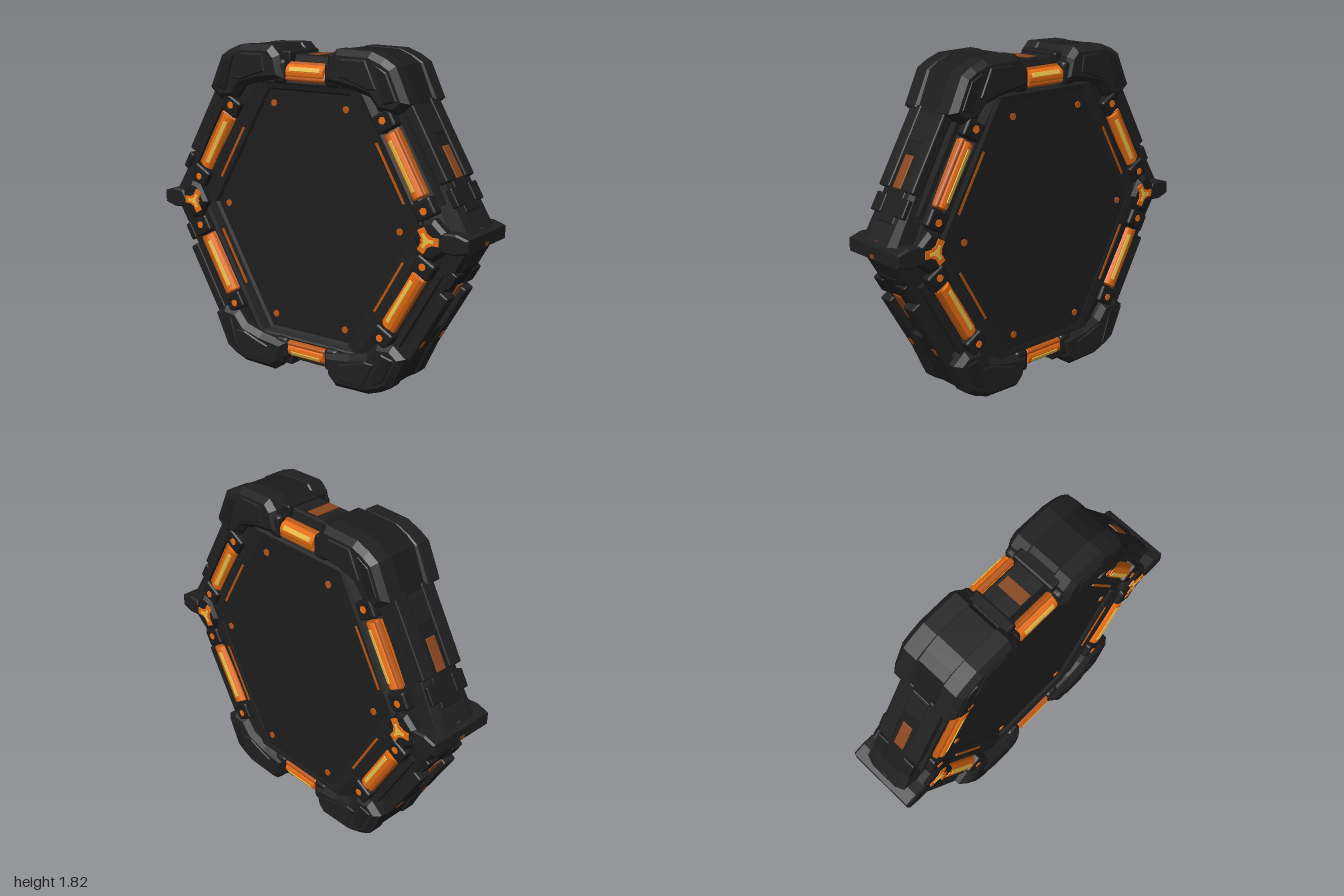
import * as THREE from 'three';
import { RoundedBoxGeometry } from 'three/addons/geometries/RoundedBoxGeometry.js';

const mat = (name, color) => {
  const m = new THREE.MeshStandardMaterial({ color, flatShading: true });
  m.name = name;
  return m;
};
const M = {
  frame: mat('charcoal', 0x1f1f1f),
  armor: mat('dark armor', 0x1b1b1b),
  panel: mat('panel grey', 0x1d1d1d),
  orange: mat('glow orange', 0xe66c12),
  deep: mat('deep orange', 0xb65412),
  yellow: mat('glow yellow', 0xf0c44c),
  brown: mat('dim amber', 0x88461e),
};
const SLANT = Math.sqrt(3) / 2;

function add(parent, name, geometry, material, x = 0, y = 0, z = 0) {
  const mesh = new THREE.Mesh(geometry, material);
  mesh.name = name;
  mesh.position.set(x, y, z);
  parent.add(mesh);
  return mesh;
}
const box = (w, h, d) => new THREE.BoxGeometry(w, h, d);
const soft = (w, h, d, r) => new RoundedBoxGeometry(w, h, d, 2, r);
const dot = (r) => new THREE.CylinderGeometry(r, r, 0.008, 8).rotateX(Math.PI / 2);

// Six corners of a hexagon with separate side and top distances
function hexCorners(side, top) {
  const x = (side - top / 2) / SLANT, r = side / SLANT;
  return [[r, 0], [x, top], [-x, top], [-r, 0], [-x, -top], [x, -top]];
}

// Bevelled slab between two depths, optionally mirrored
function slab(points, z0, z1, bevel = 0.012, sx = 1, sy = 1) {
  const shape = new THREE.Shape(points.map(([x, y]) => new THREE.Vector2(x * sx, y * sy)));
  return new THREE.ExtrudeGeometry(shape, {
    depth: z1 - z0 - 2 * bevel, bevelEnabled: bevel > 0, bevelSize: bevel,
    bevelThickness: bevel, bevelOffset: -bevel, bevelSegments: 1,
  }).translate(0, 0, z0 + bevel);
}

// Hexagonal ring lofted from a cross-section of
// [side distance, top distance, front depth, back depth, drop along the flat sides]
function ringGeometry() {
  const section = [[0.555, 0.665, 0.115, 0.178, 0], [0.57, 0.68, 0.138, 0.187, 0],
    [0.625, 0.705, 0.146, 0.19, 0], [0.645, 0.715, 0.152, 0.18, 0], [0.69, 0.73, 0.155, 0.175, 0.02],
    [0.77, 0.81, 0.14, 0.16, 0.05], [0.85, 0.855, 0.13, 0.148, 0.05], [0.865, 0.862, 0.08, 0.09, 0]];
  const front = section.map(([s, t, z, , l]) => [s, t, z, z - l]);
  const back = section.map(([s, t, , z, l]) => [s, t, -z, l - z]).reverse();
  const rows = [...front, ...back].map(([s, t, zSide, zFlat]) =>
    hexCorners(s, t).map(([x, y]) => [x, y, y === 0 ? zSide : zFlat]));
  const pos = [];
  for (let i = 0; i < rows.length - 1; i++) {
    for (let k = 0; k < 6; k++) {
      const n = (k + 1) % 6;
      const a = rows[i][k], b = rows[i + 1][k], c = rows[i + 1][n], d = rows[i][n];
      pos.push(...a, ...b, ...c, ...a, ...c, ...d);
    }
  }
  const g = new THREE.BufferGeometry();
  g.setAttribute('position', new THREE.Float32BufferAttribute(pos, 3));
  g.computeVertexNormals();
  return g;
}

// Local frame of one hexagon side: x along it, y outward
function sideGroup(parent, name, degrees) {
  const g = new THREE.Group();
  g.name = name;
  g.rotation.z = THREE.MathUtils.degToRad(degrees - 90);
  parent.add(g);
  return g;
}

// Glowing tube on a darker base, with a bright core strip
function lightBar(parent, length, y, z, tilt) {
  const g = new THREE.Group();
  g.name = 'lightBar';
  g.position.set(0, y, z);
  g.rotation.x = tilt;
  parent.add(g);
  add(g, 'lightBase', soft(length + 0.02, 0.106, 0.035, 0.012), M.deep, 0, 0, 0.006);
  add(g, 'lightTube', new THREE.CylinderGeometry(0.044, 0.044, length, 16).rotateZ(Math.PI / 2), M.orange);
  add(g, 'lightCore', soft(length * 0.82, 0.025, 0.008, 0.003), M.yellow, 0, 0, 0.042);
}

// Everything that sits on one face of the frame; lift raises the trim
function buildFace(name, panelZ, stripZ, lift) {
  const face = new THREE.Group();
  face.name = name;
  for (const a of [30, 150, 210, 330]) {
    const s = sideGroup(face, 'slantedSide', a);
    lightBar(s, 0.345, 0.712, 0.14 + lift, 0.25);
    add(s, 'innerStrip', box(0.34, 0.013, 0.008), M.deep, 0, 0.6, stripZ);
    add(s, 'outerRail', box(0.52, 0.03, 0.04), M.frame, 0, 0.8, 0.13 + lift);
    for (const t of [-1, 1]) {
      add(s, 'lightBracket', soft(0.1, 0.12, 0.07, 0.015), M.armor, t * 0.24, 0.715, 0.15 + lift);
      add(s, 'statusDot', dot(0.02), M.orange, t * 0.247, 0.713, 0.185 + lift);
    }
  }
  for (const a of [90, 270]) {
    const s = sideGroup(face, 'flatSide', a);
    lightBar(s, 0.24, 0.772, 0.13 + lift, -0.45);
    for (const t of [-1, 1]) {
      add(s, 'lightSocket', soft(0.09, 0.13, 0.12, 0.025), M.armor, t * 0.17, 0.775, 0.115 + lift);
    }
  }
  // Dots near the panel corners
  for (const [x, y] of [[0.235, 0.597], [0.57, 0], [0.235, -0.597]]) {
    for (const sx of [-1, 1]) add(face, 'panelDot', dot(0.019), M.deep, x * sx, y, panelZ + 0.003);
  }
  // Three-armed lights on the side corners
  for (const sx of [-1, 1]) {
    const star = new THREE.Group();
    star.name = 'cornerStar';
    star.position.set(0.77 * sx, 0, 0.196 + lift);
    star.rotation.z = sx > 0 ? 0 : Math.PI;
    face.add(star);
    add(star, 'starHub', dot(0.036), M.orange, 0, 0, 0.001);
    add(star, 'starCenter', dot(0.018), M.yellow, 0, 0, 0.006);
    for (const a of [0, 1, 2]) {
      const arm = sideGroup(star, 'starArm', a * 120);
      add(arm, 'starGlow', box(0.042, 0.065, 0.008), M.orange, 0, 0.036, 0.002 + a * 0.0005);
      add(arm, 'starCore', box(0.018, 0.04, 0.006), M.yellow, 0, 0.022, 0.006);
    }
  }
  return face;
}

export function createModel() {
  const root = new THREE.Group();
  root.name = 'hexagonalPanel';
  const body = new THREE.Group();
  body.name = 'body';
  body.position.y = 0.91;
  root.add(body);

  add(body, 'frameRing', ringGeometry(), M.frame);
  add(body, 'centerPanel', slab(hexCorners(0.575, 0.685), -0.185, 0.122, 0), M.panel);

  const front = buildFace('frontFace', 0.122, 0.144, 0);
  const back = buildFace('backFace', 0.185, 0.189, 0.017);
  back.rotation.y = Math.PI;
  body.add(front, back);

  // Upper and lower corner armor
  const corner = [[0.16, 0.86], [0.21, 0.91], [0.42, 0.905], [0.5, 0.875], [0.56, 0.84], [0.645, 0.66],
    [0.57, 0.6], [0.47, 0.61], [0.41, 0.68], [0.3, 0.71], [0.13, 0.735]];
  const core = corner.map(([x, y]) => [0.36 + (x - 0.36) * 0.95, y * 0.997]);
  const plate = [[0.25, 0.865], [0.4, 0.865], [0.47, 0.72], [0.41, 0.715], [0.31, 0.75], [0.24, 0.77]];
  const outerPlate = [[0.45, 0.845], [0.525, 0.81], [0.59, 0.67], [0.51, 0.65]];
  // Side corner node and the thin fin behind it
  const node = [[0.685, 0], [0.74, 0.095], [0.8, 0.11], [0.87, 0.05], [0.87, -0.05], [0.8, -0.11], [0.74, -0.095]];
  const fin = [[0.83, 0], [0.86, 0.05], [0.93, 0.055], [1, 0.034], [1, -0.034], [0.93, -0.055], [0.86, -0.05]];
  for (const sx of [-1, 1]) {
    for (const sy of [-1, 1]) {
      add(body, 'cornerCore', slab(core, -0.1, 0.1, 0, sx, sy), M.armor);
      for (const [z0, z1] of [[0.06, 0.2], [-0.206, -0.06]]) {
        add(body, 'cornerArmor', slab(corner, z0, z1, 0.03, sx, sy), M.frame);
      }
      add(body, 'cornerPlate', slab(plate, -0.212, 0.207, 0.008, sx, sy), M.frame);
      add(body, 'cornerOuterPlate', slab(outerPlate, -0.21, 0.207, 0.008, sx, sy), M.armor);
    }
    add(body, 'cornerNode', slab(node, -0.213, 0.196, 0.02, sx), M.armor);
    add(body, 'cornerFin', slab(fin, -0.21, 0.2, 0.01, sx), M.frame);
    for (const y of [-0.02, 0.045]) {
      add(body, 'finLight', box(0.008, 0.02, 0.03), M.brown, sx * (y > 0 ? 0.965 : 0.998), y, 0);
    }
  }

  // Outer rim of the slanted sides; end points towards the side corner
  for (const [a, end] of [[30, 1], [150, -1], [210, 1], [330, -1]]) {
    const lower = a > 180;
    const top = lower ? 0.902 : 0.882;
    const s = sideGroup(body, 'slantedRim', a);
    add(s, 'rimSpine', soft(0.68, 0.04, 0.14, 0.008), M.armor, 0, 0.85, 0);
    for (const z of [-1, 1]) {
      add(s, 'rimStrip', soft(0.44, 0.06, 0.085, 0.01), M.frame, -end * 0.05, top - 0.03, z * 0.095);
      add(s, 'rimBlock', soft(0.1, 0.04, 0.08, 0.008), M.armor, end * 0.25, 0.858, z * 0.09);
      if (lower) add(s, 'rimDot', box(0.04, 0.006, 0.03), M.brown, -end * 0.156, top, z * 0.1);
    }
    add(s, 'rimBridge', soft(0.16, 0.05, 0.14, 0.01), M.frame, -end * 0.16, top - 0.033, 0);
    add(s, 'rimLight', soft(0.175, 0.009, 0.062, 0.004), M.brown, end * (lower ? 0.12 : 0.075), 0.873, 0);
  }
  for (const a of [90, 270]) {
    const s = sideGroup(body, 'flatRim', a);
    add(s, 'rimLight', box(0.07, 0.008, 0.15), M.brown, 0, 0.862, 0);
    for (const t of [-1, 1]) add(s, 'rimStep', soft(0.08, 0.06, 0.26, 0.012), M.armor, t * 0.16, 0.85, 0);
  }
  return root;
}
